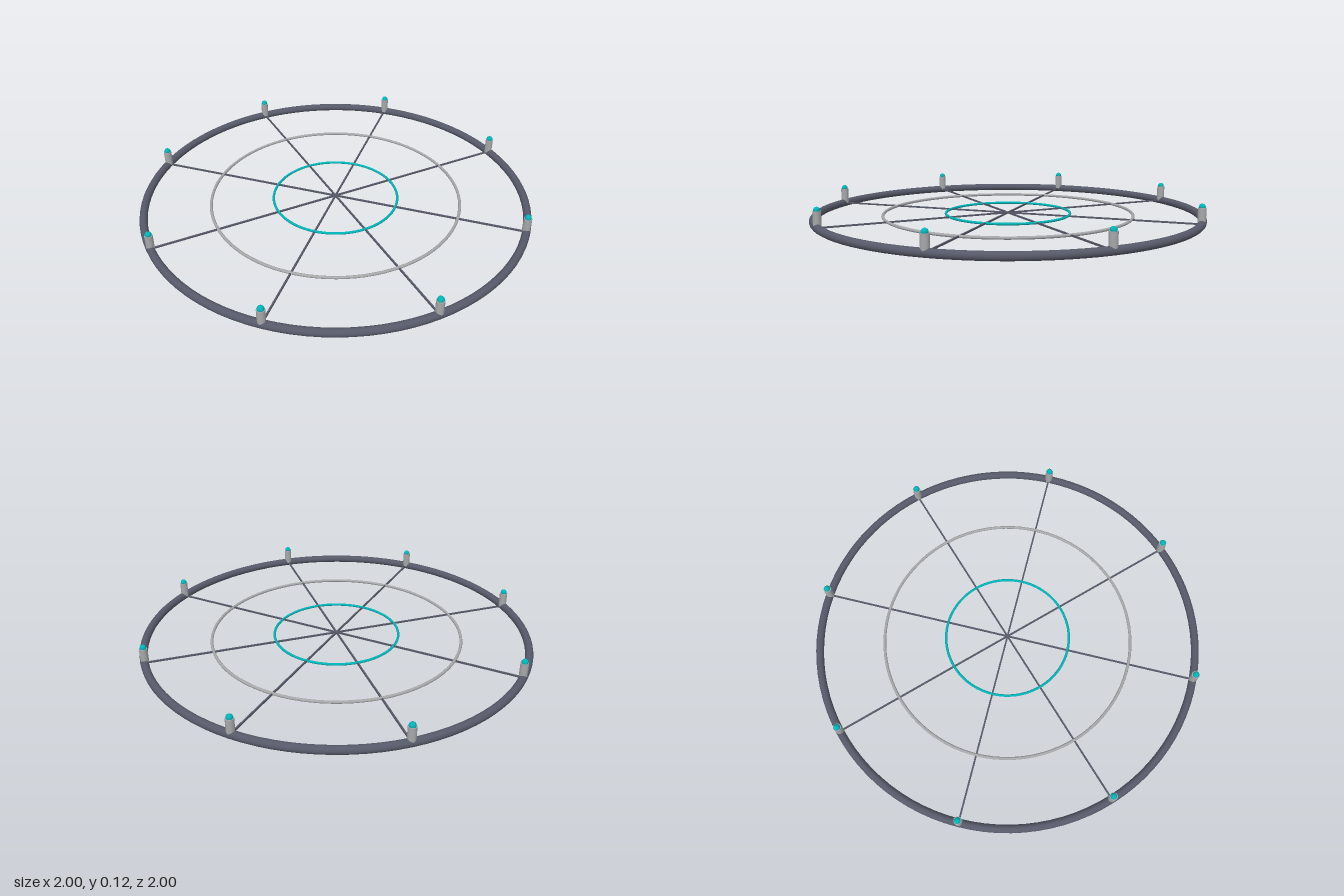
import * as THREE from 'three';

const material = (name, color) => {
  const m = new THREE.MeshStandardMaterial({ color });
  m.name = name;
  return m;
};

export function createModel() {
  const model = new THREE.Group();
  model.name = 'ringPlatform';
  const darkSteel = material('dark steel', 0x565968);
  const greySteel = material('grey steel', 0xa6a8aa);
  const teal = material('teal', 0x00b4b8);

  const outerRadius = 0.98, tube = 0.02;

  const add = (parent, name, geometry, mat, x = 0, y = 0, z = 0) => {
    const mesh = new THREE.Mesh(geometry, mat);
    mesh.name = name;
    mesh.position.set(x, y, z);
    parent.add(mesh);
    return mesh;
  };

  // Concentric rings lying flat at the same height
  const ring = (name, radius, r, mat, sides) =>
    add(model, name, new THREE.TorusGeometry(radius, r, sides, 96).rotateX(Math.PI / 2), mat, 0, tube, 0);
  ring('outerRing', outerRadius, tube, darkSteel, 16);
  ring('middleRing', 0.643, 0.0075, greySteel, 10);
  ring('innerRing', 0.322, 0.0065, teal, 10);

  // Four bars crossing the full diameter
  const barGeometry = new THREE.BoxGeometry(outerRadius * 2, 0.008, 0.008);
  for (let i = 0; i < 4; i++) {
    add(model, 'spoke', barGeometry, darkSteel, 0, tube, 0).rotation.y = (i * Math.PI) / 4;
  }

  // Eight posts on the rim, each with a small lamp on top
  const postGeometry = new THREE.CylinderGeometry(0.02, 0.02, 0.08, 12);
  const lampGeometry = new THREE.SphereGeometry(0.016, 16, 12);
  for (let i = 0; i < 8; i++) {
    const a = (i * Math.PI) / 4;
    const post = new THREE.Group();
    post.name = 'rimPost';
    post.position.set(Math.cos(a) * 0.977, 0, Math.sin(a) * 0.977);
    post.rotation.y = -a;
    add(post, 'post', postGeometry, greySteel, 0, 0.06, 0);
    add(post, 'lamp', lampGeometry, teal, 0, 0.104, 0);
    model.add(post);
  }
  return model;
}
